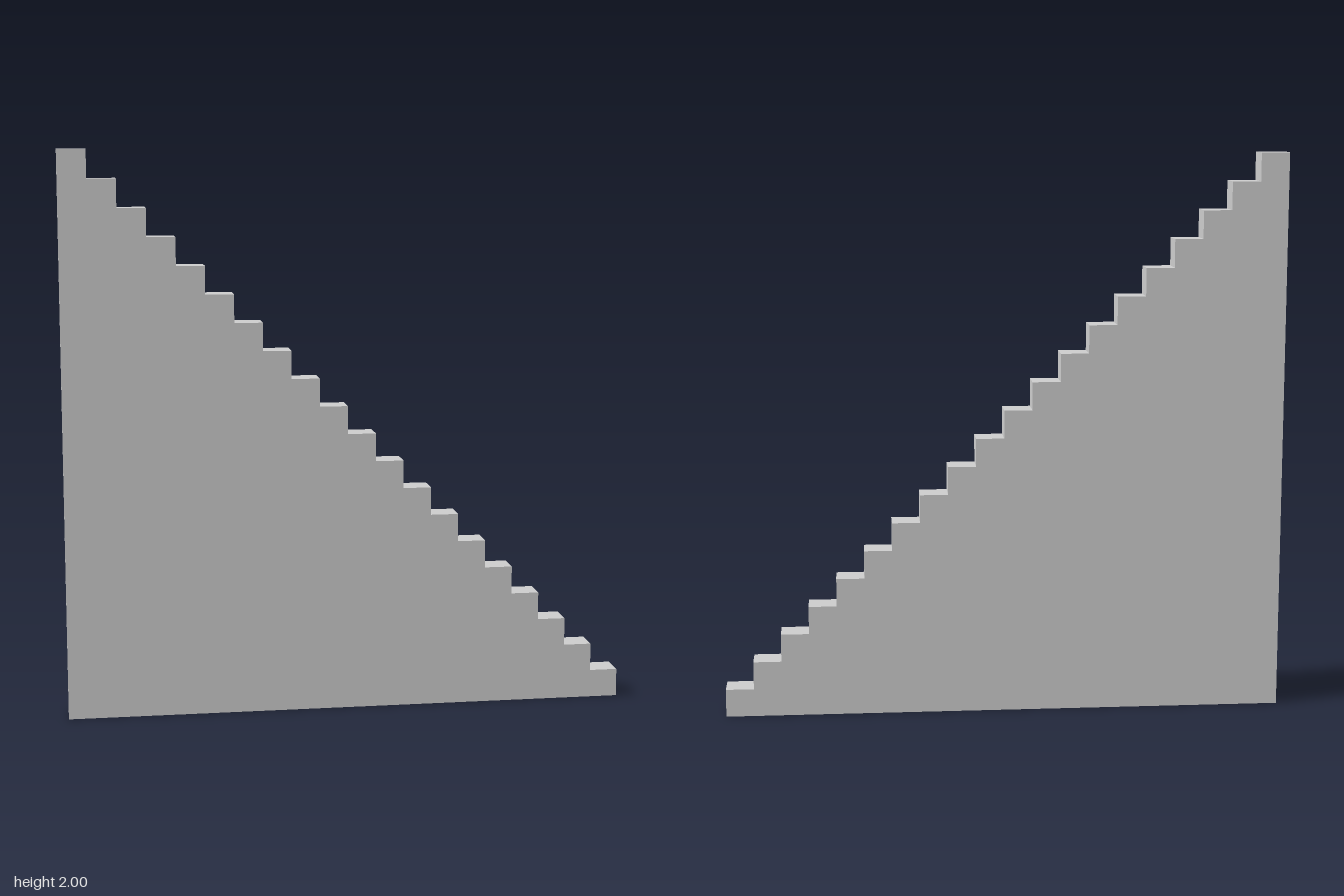
import * as THREE from 'three';

const STEPS = 20;
const SIZE = 2 / STEPS; // tread, riser and wall thickness

export function createModel() {
  const group = new THREE.Group();
  group.name = 'steppedWall';

  // Stepped profile, climbing from the low end (+x) to the high end (-x)
  const profile = new THREE.Shape();
  profile.moveTo(-1, 0);
  profile.lineTo(1, 0);
  for (let i = 0; i < STEPS; i++) {
    const top = (i + 1) * SIZE;
    profile.lineTo(1 - i * SIZE, top); // riser
    profile.lineTo(1 - (i + 1) * SIZE, top); // tread
  }
  profile.closePath();

  // Thin slab centred on z = 0
  const geometry = new THREE.ExtrudeGeometry(profile, { depth: SIZE, bevelEnabled: false });
  geometry.translate(0, 0, -SIZE / 2);

  const material = new THREE.MeshStandardMaterial({ color: 0xcccccc });
  const stairs = new THREE.Mesh(geometry, material);
  stairs.name = 'stairs';
  group.add(stairs);
  return group;
}
